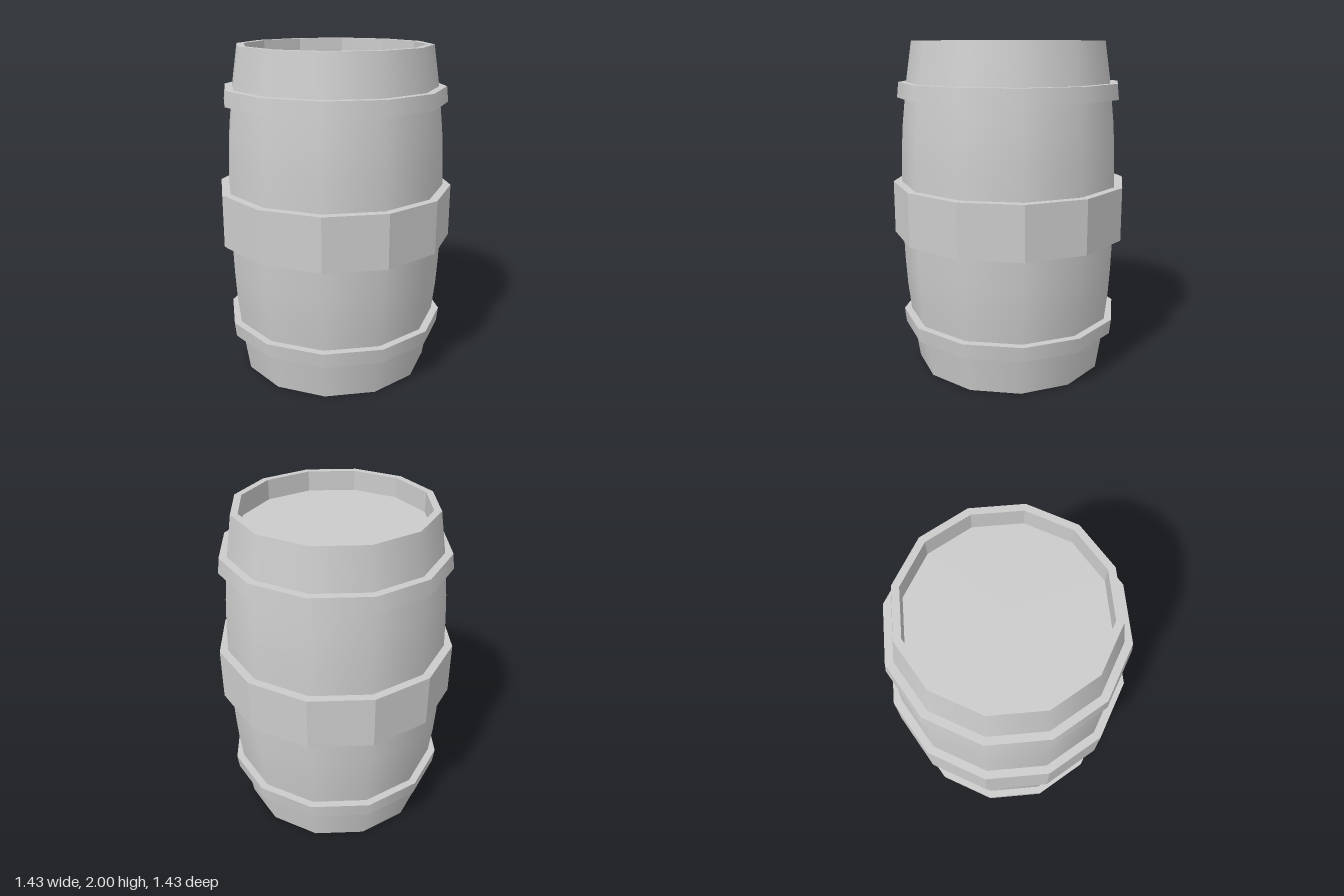
import * as THREE from 'three';

const SIDES = 12;
const smooth = new THREE.MeshStandardMaterial({ color: 0xcccccc, side: THREE.DoubleSide });
const faceted = new THREE.MeshStandardMaterial({ color: 0xcccccc, side: THREE.DoubleSide, flatShading: true });

// Turned surface from [radius, height] pairs, listed bottom to top on the outside
function turned(name, profile, material = smooth) {
  const points = profile.map(([r, y]) => new THREE.Vector2(r, y));
  const mesh = new THREE.Mesh(new THREE.LatheGeometry(points, SIDES), material);
  mesh.name = name;
  return mesh;
}

// Hollow raised band: lower ledge, outer face and upper ledge
function hoop(name, y0, y1, wall0, wall1, r0, r1, material) {
  const group = new THREE.Group();
  group.name = name;
  group.add(
    turned(name + 'LowerLedge', [[wall0, y0], [r0, y0]]),
    turned(name + 'Face', [[r0, y0], [r1, y1]], material),
    turned(name + 'UpperLedge', [[r1, y1], [wall1, y1]])
  );
  return group;
}

export function createModel() {
  const barrel = new THREE.Group();
  barrel.name = 'barrel';

  // Bulging staves between the hoops; the underside is open
  const belly = [[0.632, 0.33], [0.651, 0.5], [0.661, 0.66], [0.667, 0.84]];
  const mirrored = (profile) => profile.map(([r, y]) => [r, 2 - y]).reverse();
  const foot = [[0.585, 0], [0.622, 0.24]];
  barrel.add(
    turned('lowerEndStaves', foot),
    turned('lowerStaves', belly),
    turned('upperStaves', mirrored(belly)),
    turned('upperEndStaves', mirrored(foot))
  );

  // Hoops
  barrel.add(
    hoop('lowerHoop', 0.24, 0.33, 0.622, 0.632, 0.668, 0.678, smooth),
    hoop('middleHoop', 0.84, 1.16, 0.667, 0.667, 0.717, 0.717, faceted),
    hoop('upperHoop', 1.67, 1.76, 0.632, 0.622, 0.678, 0.668, smooth)
  );

  // Rim and recessed lid
  barrel.add(
    turned('rim', [[0.585, 2], [0.543, 2]]),
    turned('rimInside', [[0.543, 2], [0.543, 1.88]], faceted),
    turned('lid', [[0.543, 1.88], [0, 1.88]])
  );
  return barrel;
}
